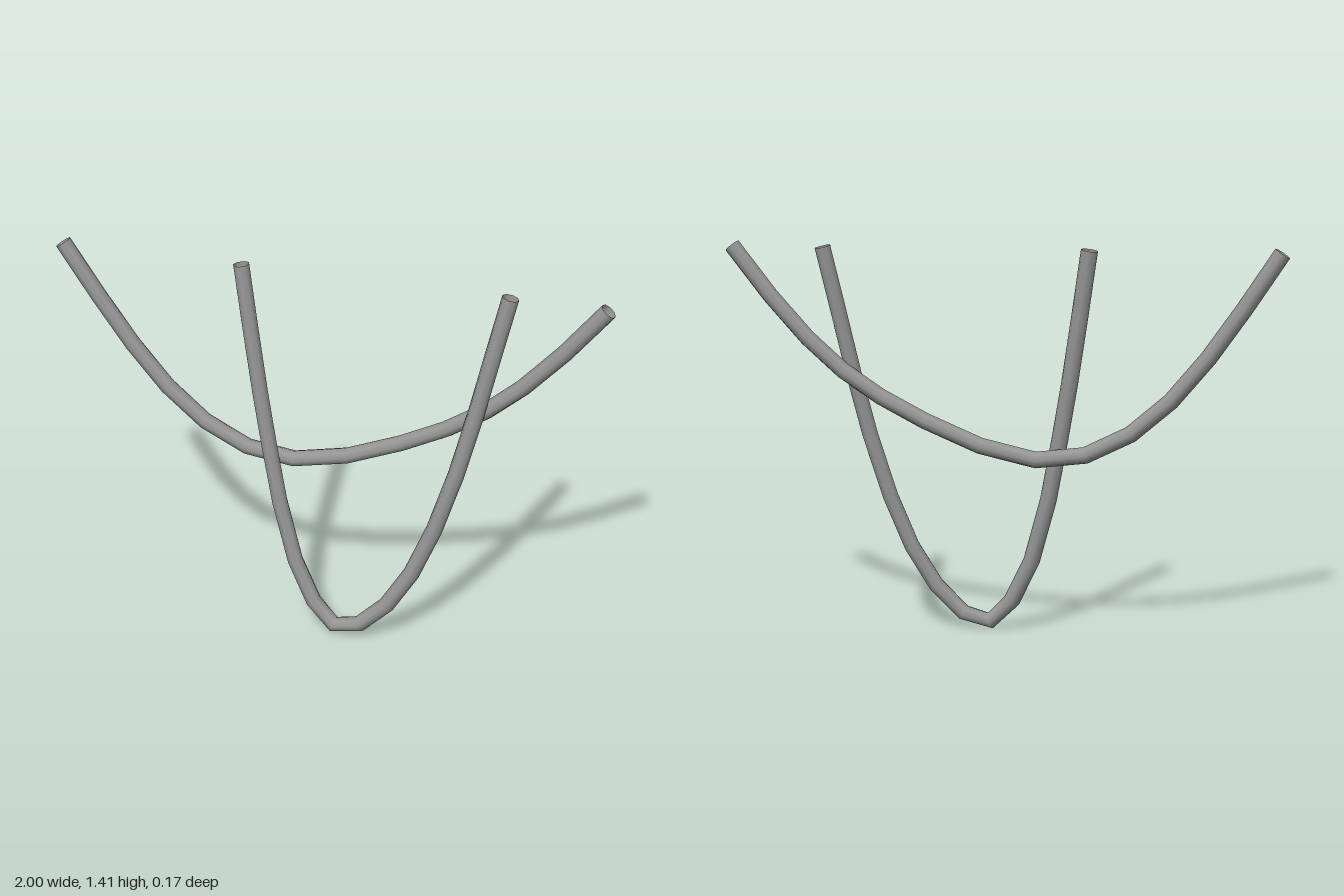
import * as THREE from 'three';

// Curve running straight between joints, so each tube ring sits on a joint
class JointedCurve extends THREE.Curve {
  constructor(points) {
    super();
    this.points = points;
  }
  getUtoTmapping(u) {
    return u;
  }
  getPoint(t, target = new THREE.Vector3()) {
    const n = this.points.length - 1;
    const i = Math.min(Math.floor(t * n), n - 1);
    return target.lerpVectors(this.points[i], this.points[i + 1], t * n - i);
  }
}

const material = new THREE.MeshStandardMaterial({ color: 0x969696, side: THREE.DoubleSide });

// Open-ended strand through [x, y] joints; depth(x) gives z
function strand(name, joints, depth) {
  const curve = new JointedCurve(joints.map(([x, y]) => new THREE.Vector3(x, y, depth(x))));
  const mesh = new THREE.Mesh(new THREE.TubeGeometry(curve, joints.length - 1, 0.03, 8, false), material);
  mesh.name = name;
  return mesh;
}

export function createModel() {
  const group = new THREE.Group();
  group.name = 'hangingStrands';

  // Wide, shallow strand lying flat at the back
  group.add(strand('wideStrand', [
    [-0.975, 1.397], [-0.85, 1.205], [-0.728, 1.03], [-0.6, 0.876], [-0.46, 0.755],
    [-0.3, 0.675], [-0.123, 0.653], [0.077, 0.698], [0.277, 0.782], [0.437, 0.865],
    [0.575, 0.957], [0.702, 1.07], [0.837, 1.22], [0.975, 1.397],
  ], () => -0.053));

  // Narrow, deep strand bulging forward over the wide one
  group.add(strand('narrowStrand', [
    [-0.31, 1.398], [-0.275, 1.16], [-0.238, 0.92], [-0.203, 0.72], [-0.161, 0.5],
    [-0.098, 0.27], [-0.023, 0.115], [0.058, 0.032], [0.159, 0.057], [0.26, 0.158],
    [0.347, 0.303], [0.422, 0.49], [0.491, 0.72], [0.545, 0.945], [0.593, 1.17], [0.642, 1.398],
  ], (x) => 0.055 - 0.11 * ((x - 0.163) / 0.475) ** 2));

  return group;
}
